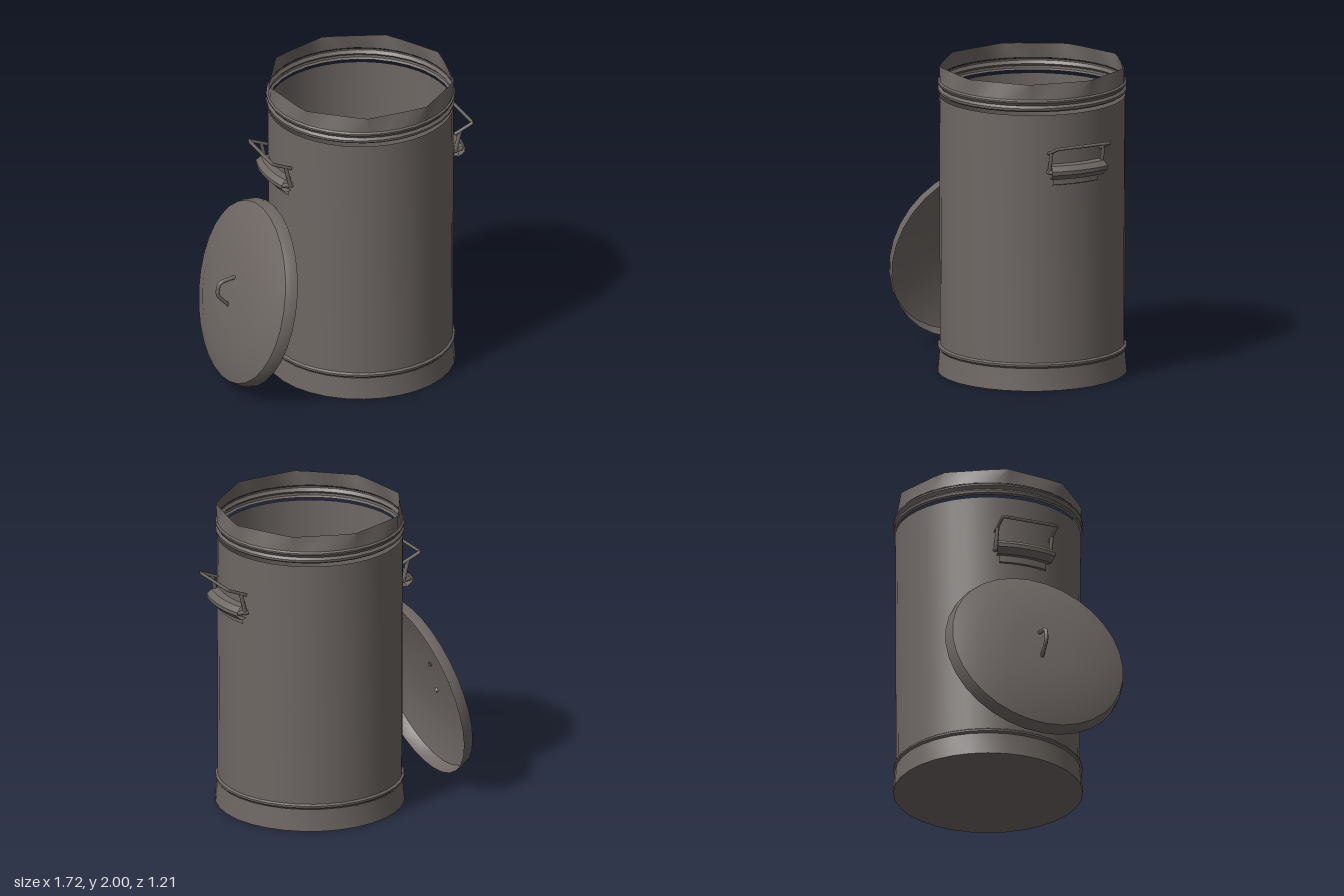
import * as THREE from 'three';
import { toCreasedNormals } from 'three/addons/utils/BufferGeometryUtils.js';

const metal = new THREE.MeshStandardMaterial({ color: 0x6e6764, side: THREE.DoubleSide });
metal.name = 'dull grey metal';

function add(parent, name, geometry) {
  const mesh = new THREE.Mesh(geometry, metal);
  mesh.name = name;
  parent.add(mesh);
  return mesh;
}

// Turned part from [radius, height] pairs, optionally only an arc of it
function turned(profile, segments = 32, start = 0, sweep = Math.PI * 2) {
  const points = profile.map(([r, y]) => new THREE.Vector2(r, y));
  return toCreasedNormals(new THREE.LatheGeometry(points, segments, start, sweep), 0.5);
}

// Bent wire with sharp corners
function wire(points, radius) {
  const path = new THREE.CurvePath();
  const v = points.map((p) => new THREE.Vector3(...p));
  for (let i = 1; i < v.length; i++) path.add(new THREE.LineCurve3(v[i - 1], v[i]));
  return new THREE.TubeGeometry(path, (v.length - 1) * 8, radius, 6);
}

// Collar: round at the bottom, nine-sided at the top
function collarGeometry() {
  const g = new THREE.CylinderGeometry(0.602, 0.592, 0.1, 36, 1, true);
  const pos = g.attributes.position;
  const step = (Math.PI * 2) / 9;
  for (let i = 0; i < pos.count; i++) {
    if (pos.getY(i) < 0) continue;
    const angle = Math.atan2(pos.getX(i), pos.getZ(i));
    const turn = angle - 0.33 + Math.PI * 4;
    const r = 0.602 * Math.cos(step / 2) / Math.cos((turn % step) - step / 2);
    pos.setX(i, r * Math.sin(angle));
    pos.setZ(i, r * Math.cos(angle));
  }
  return toCreasedNormals(g, 0.5);
}

// Side handle on the +x side: curved bracket and hinged wire bail
function makeHandle() {
  const handle = new THREE.Group();
  const arc = (profile, half) => turned(profile, 8, Math.PI / 2 - half, half * 2);
  add(handle, 'handleMount', arc([[0.59, 1.34], [0.6, 1.345], [0.6, 1.4]], 0.27));
  add(handle, 'handleBracket', arc([
    [0.592, 1.39], [0.635, 1.385], [0.67, 1.42], [0.672, 1.445], [0.64, 1.475], [0.592, 1.48],
  ], 0.3));
  const z = 0.187;
  add(handle, 'handleBail', wire([
    [0.57, 1.55, z], [0.7, 1.605, z], [0.7, 1.605, -z], [0.57, 1.55, -z],
  ], 0.011));
  for (const s of [-1, 1]) {
    add(handle, 'handleLeg', wire([[0.575, 1.42, s * z], [0.61, 1.565, s * z]], 0.013));
    add(handle, 'handlePin', wire([[0.56, 1.43, s * z], [0.63, 1.43, s * 0.17]], 0.016));
  }
  return handle;
}

export function createModel() {
  const model = new THREE.Group();
  model.name = 'dustbin';

  const bin = new THREE.Group();
  bin.name = 'bin';
  bin.position.x = 0.143;
  model.add(bin);

  // Shell, base and floor
  add(bin, 'body', turned([[0.587, 0.17], [0.592, 1.8]], 40));
  add(bin, 'baseBand', turned([[0.604, 0], [0.592, 0.145]]));
  add(bin, 'baseBead', turned([[0.59, 0.145], [0.602, 0.158], [0.602, 0.17], [0.587, 0.18]]));
  add(bin, 'floor', turned([[0.604, 0], [0, 0.002]]));

  // Rim
  add(bin, 'rimBead', turned([
    [0.586, 1.82], [0.6, 1.83], [0.602, 1.845], [0.588, 1.86], [0.602, 1.88], [0.602, 1.89], [0.59, 1.9],
  ]));
  add(bin, 'rimCollar', collarGeometry()).position.y = 1.95;

  // A handle on each side
  for (const [name, angle] of [['leftHandle', 0], ['rightHandle', Math.PI]]) {
    const handle = makeHandle();
    handle.name = name;
    handle.rotation.y = angle;
    bin.add(handle);
  }

  // Lid leaning against the side, with its outer face turned to -x
  const lid = new THREE.Group();
  lid.name = 'lid';
  lid.position.set(-0.61, 0.615, 0);
  lid.rotation.z = 1.32;
  add(lid, 'lidRim', turned([[0.604, 0], [0.6, 0.04], [0.585, 0.078]]));
  add(lid, 'lidDome', turned([[0.585, 0.078], [0.43, 0.133], [0.2, 0.15], [0, 0.155]]));
  const grip = new THREE.CatmullRomCurve3([
    [0.1, 0.14], [0.08, 0.19], [0.045, 0.245], [-0.03, 0.24], [-0.07, 0.19], [-0.1, 0.14],
  ].map(([x, y]) => new THREE.Vector3(x, y, -0.01)));
  add(lid, 'lidGrip', new THREE.TubeGeometry(grip, 20, 0.013, 6));
  model.add(lid);

  return model;
}
